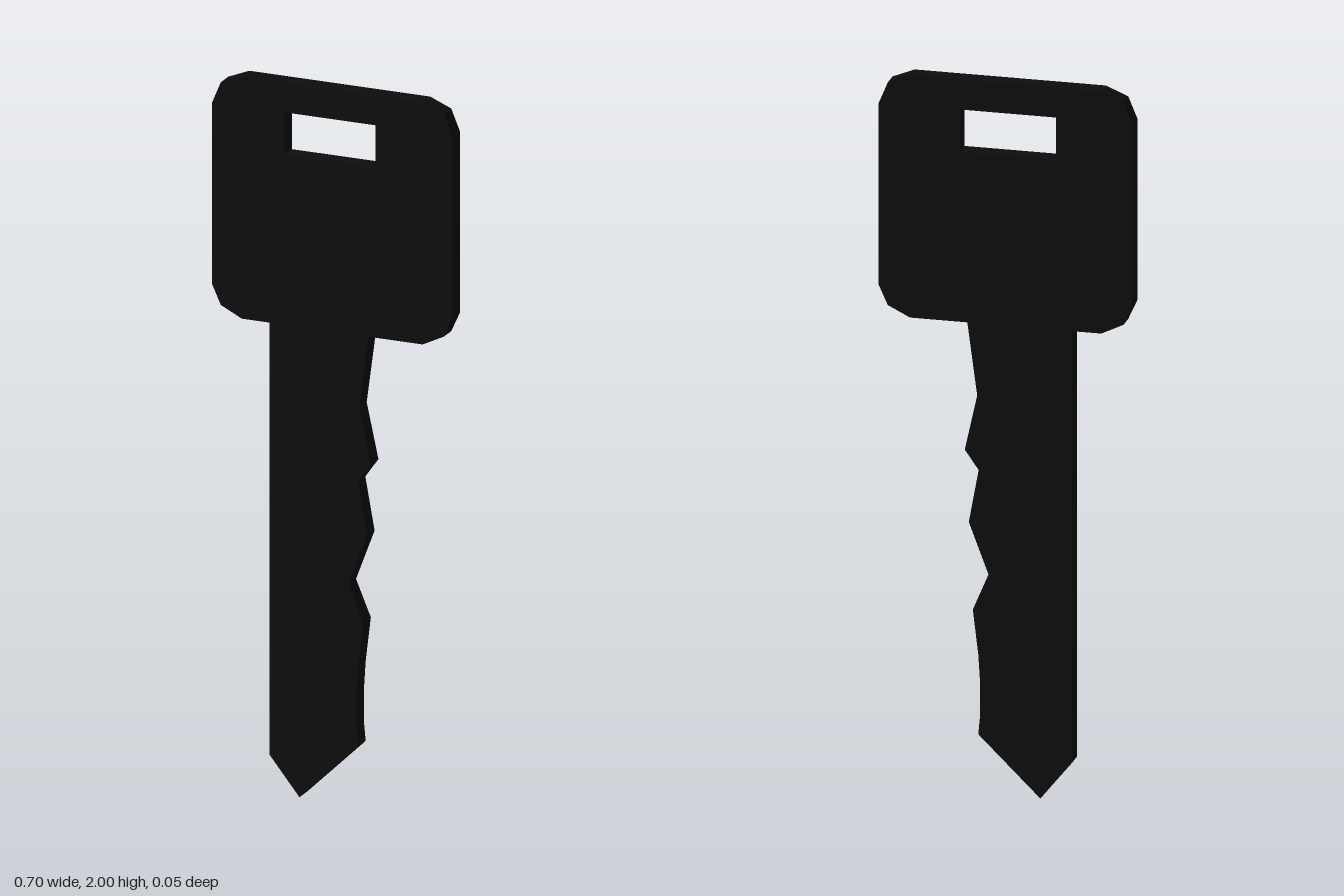
import * as THREE from 'three';

const THICKNESS = 0.05;

export function createModel() {
  const group = new THREE.Group();
  group.name = 'key';

  // Right half of the head, from its lower edge up to its top edge
  const headSide = [
    [0.262, 1.32], [0.323, 1.35], [0.348, 1.405],
    [0.348, 1.915], [0.323, 1.975], [0.262, 2],
  ];
  // Mirrored half, from the top edge back down
  const headMirror = headSide.map(([x, y]) => [-x, y]).reverse();

  // Blade: straight back, pointed tip, then the cut teeth upward
  const blade = [
    [-0.182, 1.32], [-0.182, 0.108], [-0.095, 0], [0.075, 0.166],
    [0.07, 0.22], [0.07, 0.31], [0.075, 0.39], [0.09, 0.515], [0.047, 0.617],
    [0.101, 0.76], [0.074, 0.908], [0.112, 0.962], [0.078, 1.117], [0.105, 1.32],
  ];

  const toPoints = (list) => list.map(([x, y]) => new THREE.Vector2(x, y));
  const outline = new THREE.Shape(toPoints([...blade, ...headSide, ...headMirror]));

  // Rectangular slot for the key ring
  outline.holes.push(new THREE.Path(toPoints([
    [-0.138, 1.797], [-0.138, 1.916], [0.125, 1.916], [0.125, 1.797],
  ])));

  // Flat plate cut to the outline
  const geometry = new THREE.ExtrudeGeometry(outline, { depth: THICKNESS, bevelEnabled: false });
  geometry.translate(0, 0, -THICKNESS / 2);

  const key = new THREE.Mesh(geometry, new THREE.MeshStandardMaterial({ color: 0x0d0d0d }));
  key.name = 'keyPlate';
  group.add(key);
  return group;
}
